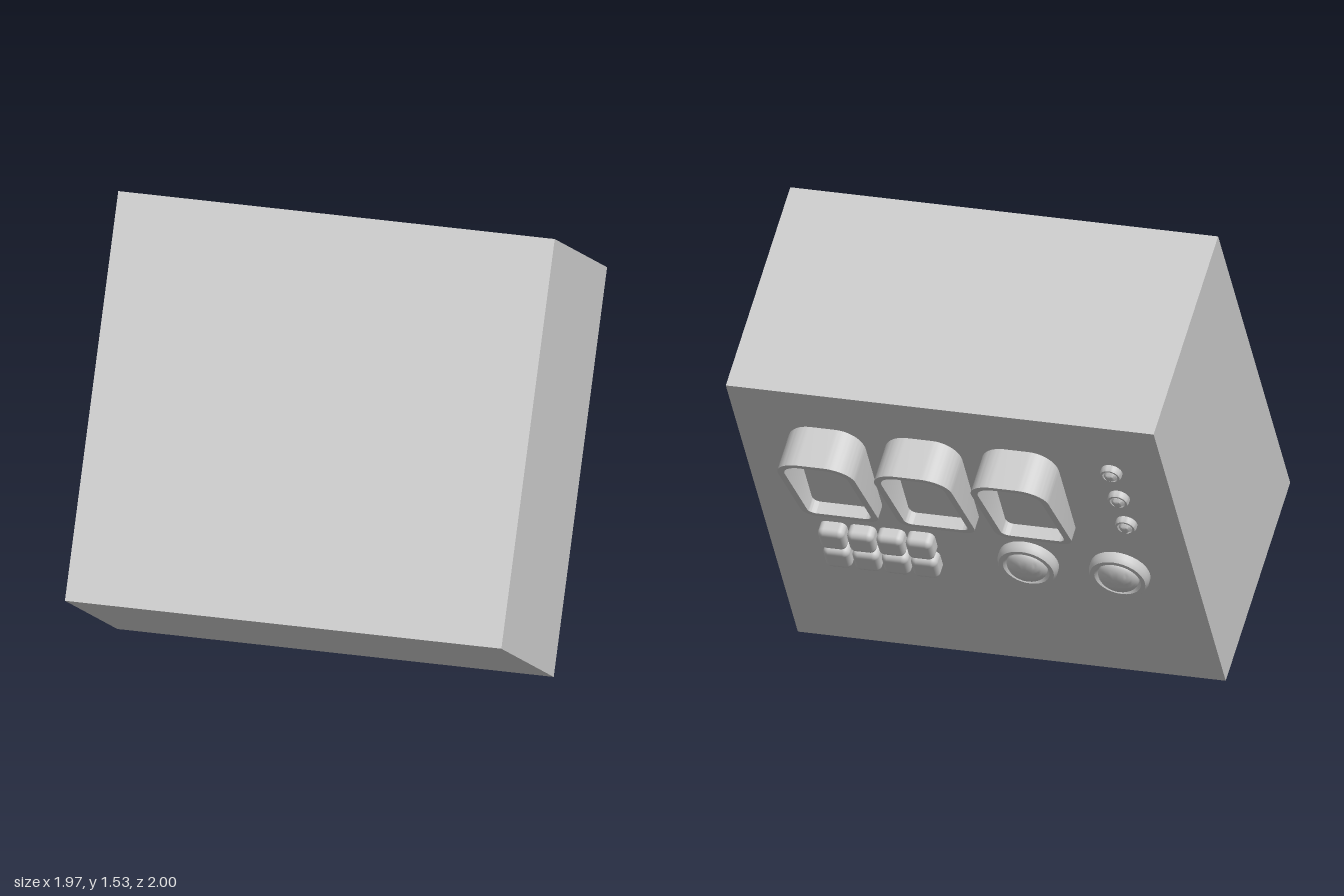
import * as THREE from 'three';
import { toCreasedNormals } from 'three/addons/utils/BufferGeometryUtils.js';
import { RoundedBoxGeometry } from 'three/addons/geometries/RoundedBoxGeometry.js';

const W = 1.39, H = 1.28, D = 0.767;
const grey = new THREE.MeshStandardMaterial({ color: 0xcccccc, side: THREE.DoubleSide });

// Rounded rectangle centred on the origin, with separate top and bottom corner radii
function roundedRect(path, w, h, rTop, rBottom) {
  const x = w / 2, y = h / 2;
  path.moveTo(-x + rBottom, -y);
  path.lineTo(x - rBottom, -y);
  path.absarc(x - rBottom, -y + rBottom, rBottom, -Math.PI / 2, 0);
  path.lineTo(x, y - rTop);
  path.absarc(x - rTop, y - rTop, rTop, 0, Math.PI / 2);
  path.lineTo(-x + rTop, y);
  path.absarc(-x + rTop, y - rTop, rTop, Math.PI / 2, Math.PI);
  path.lineTo(-x, -y + rBottom);
  path.absarc(-x + rBottom, -y + rBottom, rBottom, Math.PI, Math.PI * 1.5);
  return path;
}

// Hollow hood: deep at the top, shallow at the bottom
function hoodGeometry(w, h, wall, deep, shallow) {
  const shape = roundedRect(new THREE.Shape(), w, h, 0.085, 0.045);
  shape.holes.push(roundedRect(new THREE.Path(), w - 2 * wall, h - 2 * wall, 0.062, 0.025));
  const geo = new THREE.ExtrudeGeometry(shape, { depth: 1, bevelEnabled: false, curveSegments: 10 });
  const p = geo.attributes.position;
  for (let i = 0; i < p.count; i++) {
    const t = p.getY(i) / h + 0.5;
    p.setZ(i, p.getZ(i) * (shallow + (deep - shallow) * t));
  }
  return toCreasedNormals(geo, 0.6);
}

// Lathe profile given as [radius, height], turned to point out of the panel
function turned(points) {
  const geo = new THREE.LatheGeometry(points.map(([r, y]) => new THREE.Vector2(r, y)), 32);
  return toCreasedNormals(geo.rotateX(Math.PI / 2), 0.6);
}

// Raised ring with a dome set inside it
function domedButton(ringRadius, domeRadius, ringHeight, domeHeight) {
  const inner = domeRadius + (ringRadius - domeRadius) * 0.3;
  const points = [
    [ringRadius, 0], [ringRadius, ringHeight * 0.6],
    [ringRadius - (ringRadius - inner) * 0.35, ringHeight],
    [inner, ringHeight], [domeRadius, ringHeight * 0.6],
  ];
  for (let i = 1; i <= 8; i++) {
    const a = (i / 8) * Math.PI / 2;
    points.push([domeRadius * Math.cos(a), ringHeight * 0.6 + (domeHeight - ringHeight * 0.6) * Math.sin(a)]);
  }
  return turned(points);
}

export function createModel() {
  const model = new THREE.Group();
  model.name = 'controlBox';
  const tilted = new THREE.Group();
  tilted.name = 'tiltedBox';
  model.add(tilted);

  // x and y are measured from the top left corner of the panel
  function add(name, geo, x, y, z = 0) {
    const mesh = new THREE.Mesh(geo, grey);
    mesh.name = name;
    mesh.position.set(x - W / 2, H / 2 - y, D / 2 + z);
    tilted.add(mesh);
  }

  // Housing
  add('housing', new THREE.BoxGeometry(W, H, D), W / 2, H / 2, -D / 2);

  // Three hooded windows
  const hood = hoodGeometry(0.25, 0.417, 0.022, 0.15, 0.04);
  for (let i = 0; i < 3; i++) add('windowHood', hood, 0.283 + i * 0.314, 0.38);

  // Three small lamps
  const lamp = domedButton(0.034, 0.021, 0.022, 0.034);
  for (let i = 0; i < 3; i++) add('lamp', lamp, 1.213, 0.225 + i * 0.133);

  // Keypad of two rows
  const key = new RoundedBoxGeometry(0.086, 0.086, 0.1, 4, 0.02);
  for (let row = 0; row < 2; row++)
    for (let col = 0; col < 4; col++) add('key', key, 0.226 + col * 0.095, 0.71 + row * 0.095);

  // Two large push buttons
  const button = domedButton(0.096, 0.066, 0.035, 0.06);
  for (const x of [0.848, 1.145]) add('pushButton', button, x, 0.752);

  // Tilt the whole box so the panel faces down and to the back
  const right = new THREE.Vector3(-1.04, -0.065, -0.92).normalize();
  const up = new THREE.Vector3(0.535, 0.95, -0.67);
  up.addScaledVector(right, -up.dot(right)).normalize();
  const out = new THREE.Vector3().crossVectors(right, up);
  tilted.quaternion.setFromRotationMatrix(new THREE.Matrix4().makeBasis(right, up, out));
  tilted.position.y = 0.767;
  return model;
}
